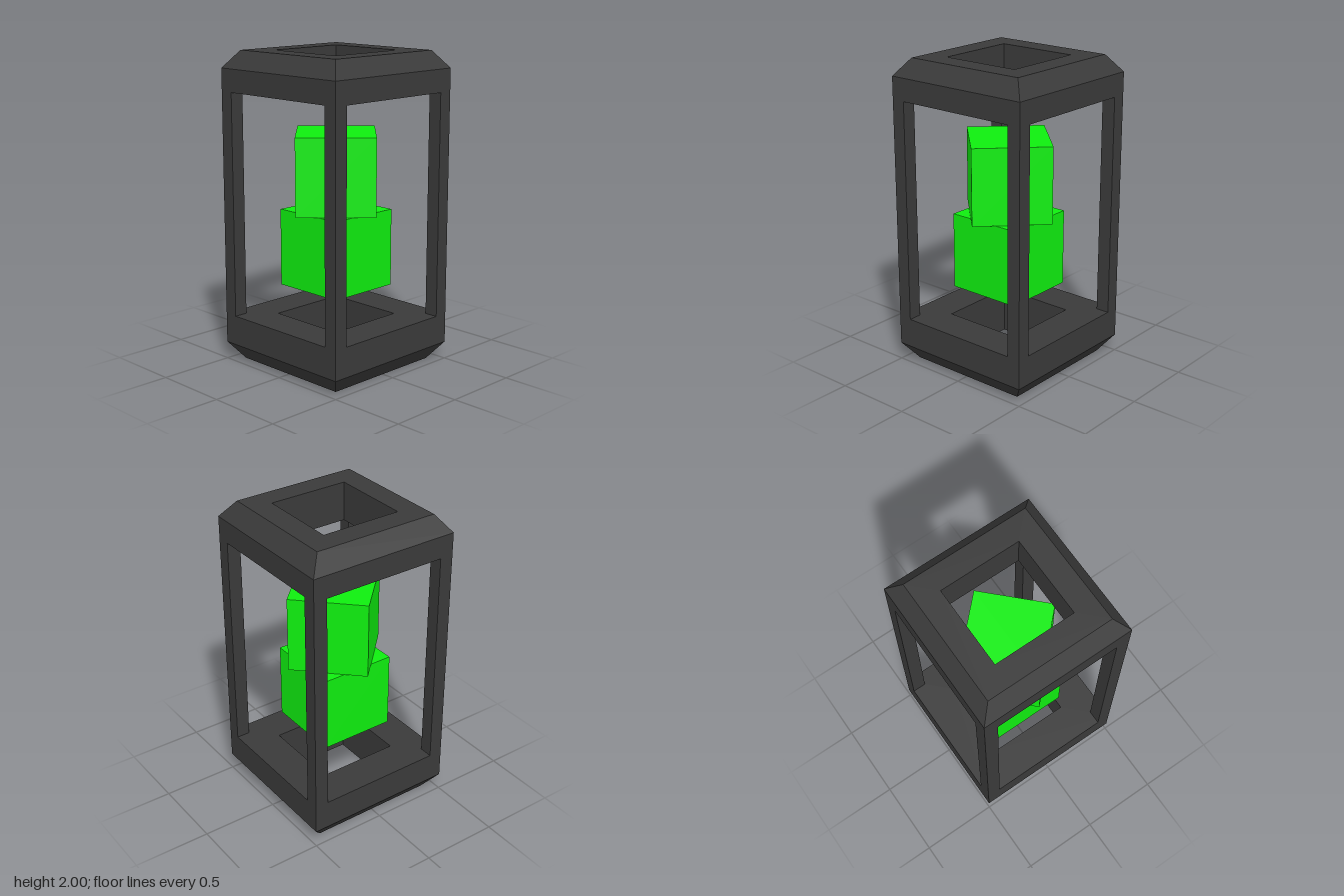
import * as THREE from 'three';

export function createModel() {
  const model = new THREE.Group();
  model.name = 'lantern';
  const frameMat = new THREE.MeshStandardMaterial({ color: 0x3a3a3a, flatShading: true });
  const glowMat = new THREE.MeshStandardMaterial({ color: 0x0fee0f, flatShading: true });

  const add = (name, geometry, material, x, y, z) => {
    const mesh = new THREE.Mesh(geometry, material);
    mesh.name = name;
    mesh.position.set(x, y, z);
    model.add(mesh);
    return mesh;
  };

  // Square ring: a closed profile of [half width, y] swept round four sides
  const squareRing = (name, profile) => {
    const points = [...profile, profile[0]].map(([h, y]) => new THREE.Vector2(h * Math.SQRT2, y));
    const geometry = new THREE.LatheGeometry(points, 4, Math.PI / 4).toNonIndexed();
    geometry.computeVertexNormals();
    add(name, geometry, frameMat, 0, 0, 0);
  };

  // Bevelled base and cap, each with a square opening
  const hole = 0.265, bevel = 0.415, outer = 0.5;
  squareRing('base', [[hole, 0], [bevel, 0], [outer, 0.113], [outer, 0.305], [hole, 0.305]]);
  squareRing('cap', [[hole, 1.745], [outer, 1.745], [outer, 1.89], [bevel, 2], [hole, 2]]);

  // Corner posts
  const post = 0.09, postHeight = 1.745 - 0.305;
  for (const sx of [-1, 1]) for (const sz of [-1, 1]) {
    const at = outer - post / 2;
    add(`${sz > 0 ? 'front' : 'back'}${sx > 0 ? 'Left' : 'Right'}Post`,
      new THREE.BoxGeometry(post, postHeight, post), frameMat,
      sx * at, 0.305 + postHeight / 2, sz * at);
  }

  // Two stacked glowing cubes, the upper one turned an eighth
  const cube = new THREE.BoxGeometry(0.497, 0.497, 0.497);
  add('lowerCube', cube, glowMat, 0, 0.749, 0);
  add('upperCube', cube, glowMat, 0, 1.246, 0).rotation.y = Math.PI / 4;

  return model;
}
